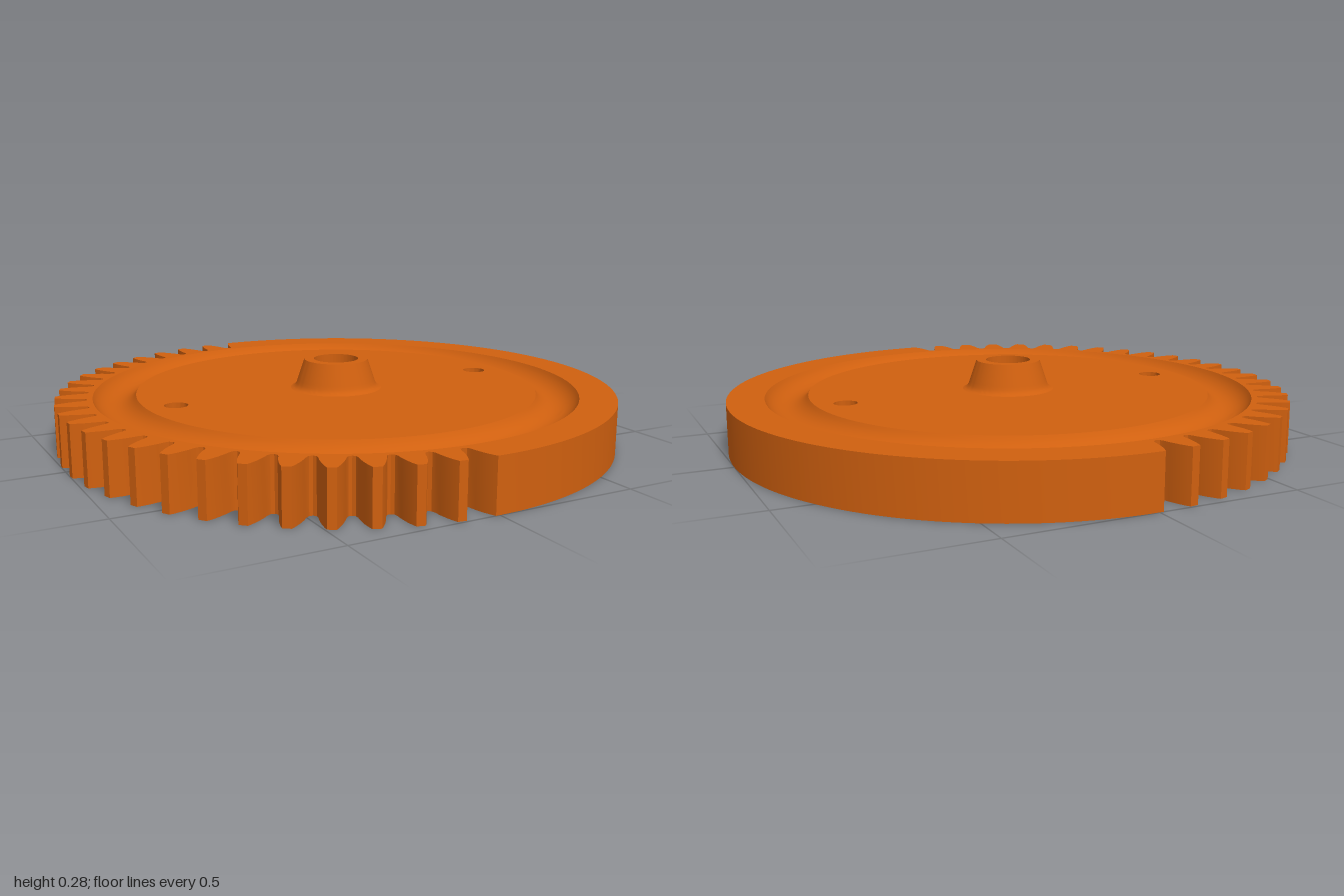
import * as THREE from 'three';
import { toCreasedNormals } from 'three/addons/utils/BufferGeometryUtils.js';

const TOP = 0.18;        // height of the disc
const POCKET = 0.1;      // depth of the nut pockets
const GROOVE_IN = 0.72, GROOVE_OUT = 0.87, GROOVE_DEPTH = 0.045;
const BORE = 0.08, BOLT_X = 0.615;
const PITCH = 7.2;       // degrees per tooth

// Polar point, angle in degrees
const polar = (r, deg) => {
  const a = THREE.MathUtils.degToRad(deg);
  return new THREE.Vector2(r * Math.cos(a), r * Math.sin(a));
};

// Regular polygon or circle path
function ring(radius, sides, cx = 0, startDeg = 0) {
  const pts = [];
  for (let i = 0; i < sides; i++) {
    const p = polar(radius, startDeg + (i * 360) / sides);
    p.x += cx;
    pts.push(p);
  }
  return pts;
}

// Outline: plain half on +x, teeth on -x
function gearOutline() {
  const flank = [[1.0, 0.8], [0.985, 1.2], [0.96, 1.75], [0.93, 2.25], [0.905, 2.55], [0.893, 2.9]];
  const pts = [];
  for (let a = -90; a <= 90; a += 2) pts.push(polar(1, a));
  for (let k = 0; k <= 25; k++) {
    const c = 90 + k * PITCH;
    if (k > 0) {
      pts.push(polar(0.888, c - PITCH / 2));
      for (const [r, d] of [...flank].reverse()) pts.push(polar(r, c - d));
    }
    if (k < 25) for (const [r, d] of flank) pts.push(polar(r, c + d));
  }
  return pts;
}

// Upright slab from an outline with holes
function slab(outline, holes, y0, y1) {
  const shape = new THREE.Shape(outline);
  for (const h of holes) shape.holes.push(new THREE.Path(h));
  const geo = new THREE.ExtrudeGeometry(shape, { depth: y1 - y0, bevelEnabled: false });
  geo.rotateX(-Math.PI / 2);
  geo.translate(0, y0, 0);
  return toCreasedNormals(geo, 0.5);
}

function lathe(points) {
  const pts = points.map(([x, y]) => new THREE.Vector2(x, y));
  return toCreasedNormals(new THREE.LatheGeometry(pts, 96), 0.5);
}

export function createModel() {
  const group = new THREE.Group();
  const orange = new THREE.MeshStandardMaterial({ color: 0xd0600f });
  orange.name = 'orange';
  const add = (name, geo) => {
    const mesh = new THREE.Mesh(geo, orange);
    mesh.name = name;
    group.add(mesh);
  };

  // Toothed rim
  add('toothedRim', slab(gearOutline(), [ring(GROOVE_OUT, 96)], 0, TOP));

  // Lower web with hexagonal nut pockets
  const pockets = [-1, 1].map((s) => ring(0.08, 6, s * BOLT_X, 30));
  add('lowerWeb', slab(ring(GROOVE_OUT, 96), [ring(BORE, 48), ...pockets], 0, POCKET));

  // Upper web with round bolt holes
  const bolts = [-1, 1].map((s) => ring(0.041, 32, s * BOLT_X));
  add('upperWeb', slab(ring(GROOVE_IN, 96), [ring(BORE, 48), ...bolts], POCKET, TOP));

  // Rounded groove between web and rim
  const half = (GROOVE_OUT - GROOVE_IN) / 2;
  const radius = (half * half + GROOVE_DEPTH * GROOVE_DEPTH) / (2 * GROOVE_DEPTH);
  const sweep = Math.asin(half / radius);
  const groove = [];
  for (let i = 0; i <= 16; i++) {
    const a = sweep * (1 - i / 8);
    groove.push([
      (GROOVE_IN + GROOVE_OUT) / 2 + radius * Math.sin(a),
      TOP - GROOVE_DEPTH + radius * (1 - Math.cos(a)),
    ]);
  }
  add('groove', lathe(groove));

  // Tapered hub with a filleted foot and open bore
  add('hub', lathe([
    [0.165, TOP], [0.156, 0.183], [0.149, 0.189], [0.144, 0.198], [0.14, 0.21],
    [0.115, 0.285], [BORE, 0.285], [BORE, TOP],
  ]));

  return group;
}
